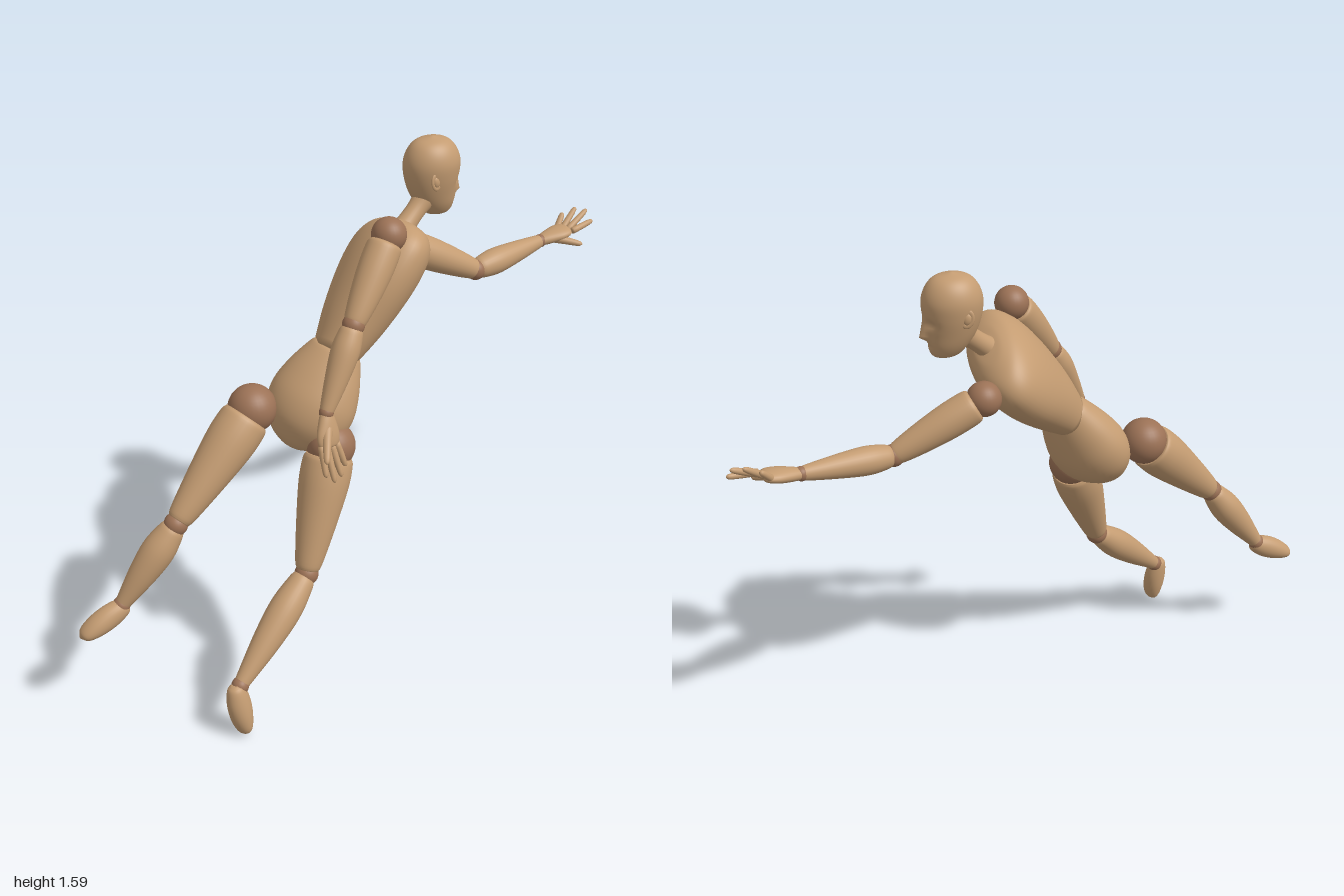
import * as THREE from 'three';

const wood = new THREE.MeshStandardMaterial({ color: 0xc49c72 });
wood.name = 'light wood';
const joint = new THREE.MeshStandardMaterial({ color: 0x9c7256 });
joint.name = 'dark wood joint';

const V = (a) => new THREE.Vector3(...a);
const lerp = (p, q, t) => V(p).lerp(V(q), t).toArray();

// Smooth elliptical loft from p to q; stations are [t, half width along side, half depth, forward offset]
function loft(p, q, side, stations, rings = 24, segs = 28) {
  const start = V(p), axis = V(q).sub(start), dir = axis.clone().normalize();
  const s = V(side).addScaledVector(dir, -V(side).dot(dir)).normalize();
  const w = dir.clone().cross(s);
  const mk = (f) => new THREE.CatmullRomCurve3(stations.map(f), false, 'catmullrom', 0.5);
  const size = mk(([t, a, b]) => new THREE.Vector3(t, a, b));
  const shift = mk(([, , , o = 0]) => new THREE.Vector3(o, 0, 0));
  const pos = [], idx = [];
  for (let i = -1; i <= rings + 1; i++) {
    const u = Math.min(Math.max(i / rings, 0), 1);
    const r = size.getPoint(u), k = i < 0 || i > rings ? 0 : 1; // closing rings
    const c = start.clone().addScaledVector(axis, r.x).addScaledVector(w, -shift.getPoint(u).x);
    for (let j = 0; j < segs; j++) {
      const th = (j / segs) * Math.PI * 2;
      const v = c.clone().addScaledVector(s, Math.cos(th) * Math.max(r.y, 0) * k)
        .addScaledVector(w, Math.sin(th) * Math.max(r.z, 0) * k);
      pos.push(v.x, v.y, v.z);
    }
  }
  for (let i = 0; i < rings + 2; i++) for (let j = 0; j < segs; j++) {
    const a = i * segs + j, b = i * segs + (j + 1) % segs;
    idx.push(a, b, b + segs, a, b + segs, a + segs);
  }
  const g = new THREE.BufferGeometry();
  g.setAttribute('position', new THREE.Float32BufferAttribute(pos, 3));
  g.setIndex(idx);
  g.computeVertexNormals();
  return g;
}

function add(parent, name, geo, mat = wood) {
  const m = new THREE.Mesh(geo, mat);
  m.name = name;
  parent.add(m);
  return m;
}

function ball(parent, name, p, r, mat = joint) {
  add(parent, name, new THREE.SphereGeometry(r, 28, 20), mat).position.set(...p);
}

// Round limb segment; profile holds [t, radius]
function limb(parent, name, p, q, profile) {
  add(parent, name, loft(p, q, [0.13, 0.2, 1], profile.map(([t, r]) => [t, r, r])));
}

function hand(parent, name, wrist, knuckles, side, tips, thumb) {
  const g = new THREE.Group();
  g.name = name;
  parent.add(g);
  add(g, 'palm', loft(wrist, knuckles, side,
    [[-0.05, 0.018, 0.016], [0.3, 0.03, 0.02], [0.7, 0.04, 0.02], [1, 0.036, 0.015], [1.1, 0.02, 0.007]]));
  const s = V(side).normalize();
  const digit = [[0, 0.011, 0.011], [0.5, 0.0105, 0.0105], [0.9, 0.008, 0.008], [1, 0.001, 0.001]];
  tips.forEach((tip, i) => {
    const base = V(knuckles).addScaledVector(s, (i - 1.5) * 0.019).toArray();
    add(g, 'finger', loft(base, tip, [0.1, 0.3, 1], digit, 10, 12));
  });
  add(g, 'thumb', loft(lerp(wrist, knuckles, 0.35), thumb, [0.1, 0.3, 1],
    [[0, 0.018, 0.018], [0.5, 0.013, 0.013], [0.9, 0.009, 0.009], [1, 0.001, 0.001]], 10, 12));
}

function arm(parent, name, shoulder, elbow, wrist) {
  const g = new THREE.Group();
  g.name = name;
  parent.add(g);
  ball(g, 'shoulderBall', shoulder, 0.053);
  limb(g, 'upperArm', shoulder, elbow, [[0.1, 0.046], [0.16, 0.053], [0.4, 0.053], [0.7, 0.045], [0.95, 0.034], [0.99, 0.026]]);
  ball(g, 'elbowBall', elbow, 0.034);
  limb(g, 'forearm', elbow, wrist, [[0.03, 0.03], [0.1, 0.037], [0.3, 0.043], [0.6, 0.036], [0.95, 0.023], [1, 0.018]]);
  ball(g, 'wristBall', wrist, 0.022);
  return g;
}

function leg(parent, name, hip, knee, ankle) {
  const g = new THREE.Group();
  g.name = name;
  parent.add(g);
  ball(g, 'hipBall', hip, 0.075);
  limb(g, 'thigh', hip, knee, [[0.08, 0.07], [0.13, 0.077], [0.3, 0.077], [0.6, 0.062], [0.9, 0.043], [0.97, 0.034]]);
  ball(g, 'kneeBall', knee, 0.037);
  limb(g, 'shin', knee, ankle, [[0.03, 0.033], [0.1, 0.041], [0.32, 0.051], [0.6, 0.044], [0.92, 0.027], [1, 0.022]]);
  ball(g, 'ankleBall', ankle, 0.027);
  return g;
}

function head() {
  const g = new THREE.Group();
  g.name = 'head';
  const skull = loft([0, -0.13, 0], [0, 0.125, 0], [1, 0, 0], [
    [0, 0.012, 0.015, 0.025], [0.04, 0.03, 0.042, 0.022], [0.16, 0.049, 0.062, 0.014],
    [0.32, 0.063, 0.077, 0.004], [0.52, 0.075, 0.088], [0.7, 0.078, 0.09],
    [0.85, 0.066, 0.076], [0.95, 0.042, 0.05], [1, 0.004, 0.004]], 56, 72);
  // Nose ridge and eye hollows
  const p = skull.attributes.position;
  for (let i = 0; i < p.count; i++) {
    const x = p.getX(i), y = p.getY(i), z = p.getZ(i);
    if (z < 0.02) continue;
    const ramp = y > -0.062 ? Math.max(0, 1 - (y + 0.062) / 0.065) : Math.max(0, 1 + (y + 0.062) / 0.012);
    const nose = 0.022 * Math.exp(-((x / 0.013) ** 2)) * ramp;
    const eye = 0.011 * Math.exp(-(((Math.abs(x) - 0.03) / 0.017) ** 2) - ((y + 0.016) / 0.014) ** 2);
    const mouth = 0.004 * Math.exp(-((x / 0.02) ** 2) - ((y + 0.088) / 0.006) ** 2);
    p.setZ(i, z + nose - eye - mouth);
  }
  skull.computeVertexNormals();
  add(g, 'skull', skull);
  // Ears
  for (const sx of [-1, 1]) {
    const ear = new THREE.Group();
    ear.name = 'ear';
    ear.position.set(sx * 0.071, 0.005, -0.022);
    ear.rotation.set(-0.2, sx * -0.3, 0);
    ear.scale.set(0.6, 1.4, 1);
    add(ear, 'earRim', new THREE.TorusGeometry(0.015, 0.006, 10, 24)).rotation.y = Math.PI / 2;
    add(ear, 'earInner', new THREE.SphereGeometry(0.013, 16, 12));
    g.add(ear);
  }
  return g;
}

export function createModel() {
  const model = new THREE.Group();
  model.name = 'mannequin';

  // Torso
  const waist = [-0.147, 1.02, 0.028];
  add(model, 'chest', loft(waist, [0.165, 1.335, 0.022], [0.4, -0.33, -0.86], [
    [0, 0.088, 0.068], [0.25, 0.13, 0.092], [0.5, 0.17, 0.105], [0.7, 0.188, 0.108],
    [0.85, 0.184, 0.1], [0.95, 0.15, 0.08], [1, 0.09, 0.05], [1.015, 0.03, 0.02]], 36, 48));
  add(model, 'pelvis', loft(waist, [-0.31, 0.75, -0.005], [-0.25, 0.19, -0.95], [
    [-0.06, 0.075, 0.055], [0, 0.088, 0.068], [0.25, 0.122, 0.092], [0.5, 0.14, 0.106],
    [0.72, 0.128, 0.096], [0.9, 0.085, 0.06], [0.98, 0.04, 0.03], [1, 0.01, 0.01]], 36, 48));

  // Neck and head
  limb(model, 'neck', [0.14, 1.31, 0.022], [0.27, 1.415, 0.03],
    [[0, 0.04], [0.3, 0.032], [0.65, 0.031], [1, 0.042]]);
  const h = head();
  h.position.set(0.285, 1.467, 0.028);
  h.rotation.y = 1.22;
  model.add(h);

  // Left arm stretched forward
  const lw = [0.785, 1.095, 0.09];
  const la = arm(model, 'leftArm', [0.25, 1.22, -0.067], [0.5, 1.075, 0.045], lw);
  hand(la, 'leftHand', lw, [0.885, 1.112, 0.118], [-0.2, -0.05, -0.9],
    [[0.985, 1.125, 0.158], [0.985, 1.158, 0.132], [0.96, 1.165, 0.103], [0.92, 1.15, 0.08]],
    [0.89, 1.078, 0.19]);

  // Right arm trailing back
  const rw = [-0.335, 0.955, 0.172];
  const ra = arm(model, 'rightArm', [-0.01, 1.395, 0.12], [-0.195, 1.18, 0.15], rw);
  hand(ra, 'rightHand', rw, [-0.355, 0.865, 0.2], [0.95, -0.15, 0.1],
    [[-0.4, 0.785, 0.232], [-0.375, 0.76, 0.243], [-0.343, 0.765, 0.24], [-0.31, 0.78, 0.225]],
    [-0.41, 0.84, 0.245]);

  // Legs and feet
  const rl = leg(model, 'rightLeg', [-0.25, 0.775, 0.107], [-0.42, 0.415, 0.162], [-0.722, 0.168, 0.173]);
  const ll = leg(model, 'leftLeg', [-0.385, 0.885, -0.09], [-0.69, 0.605, -0.115], [-0.865, 0.365, -0.185]);
  const foot = [[0, 0.012, 0.012], [0.08, 0.026, 0.028], [0.35, 0.034, 0.038],
    [0.65, 0.036, 0.034], [0.9, 0.028, 0.02], [1, 0.003, 0.003]];
  add(rl, 'rightFoot', loft([-0.742, 0.18, 0.172], [-0.735, 0.003, 0.2], [0, 0, 1], foot));
  add(ll, 'leftFoot', loft([-0.848, 0.365, -0.178], [-0.997, 0.292, -0.228], [-0.3, 0, 1], foot));

  return model;
}
